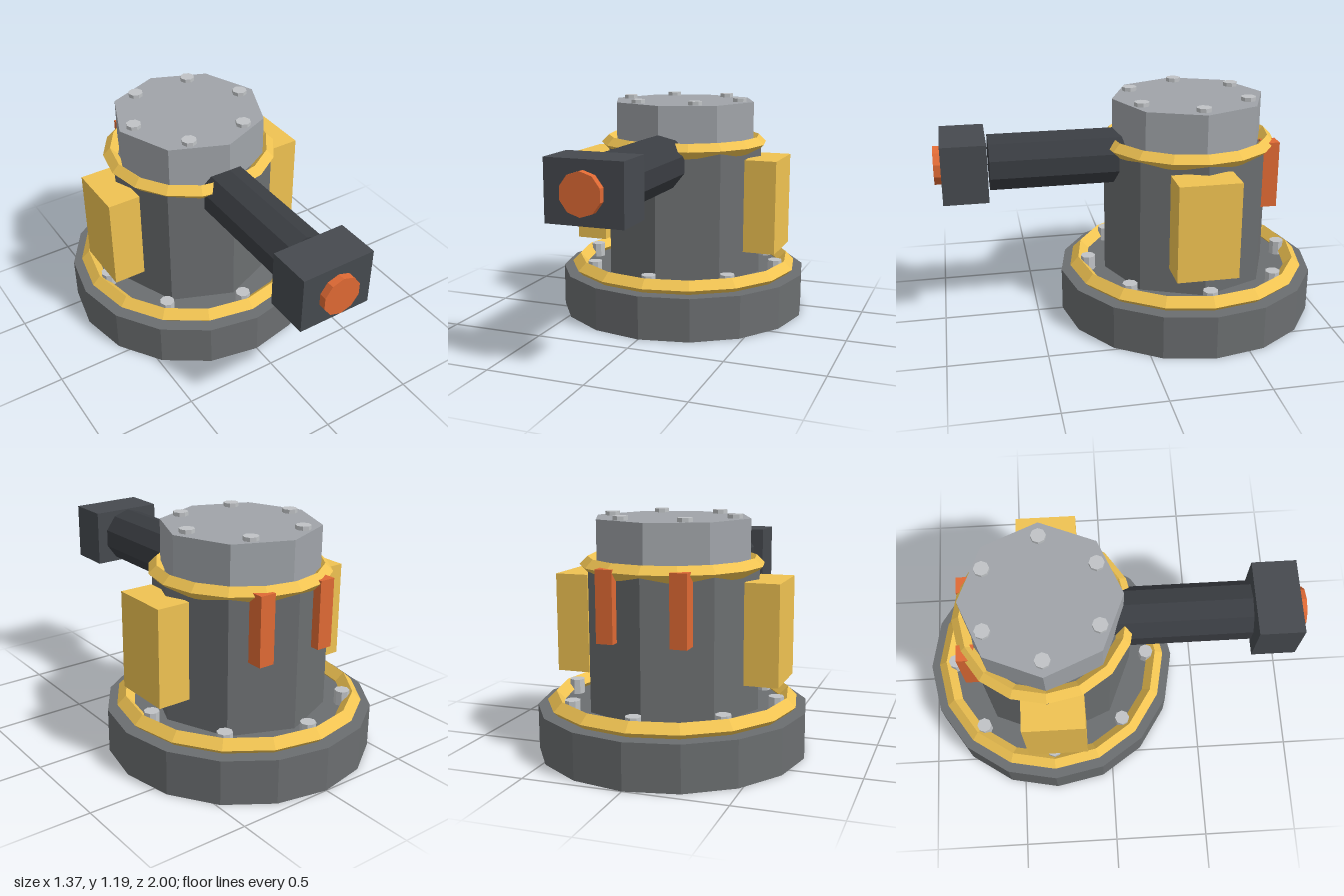
import * as THREE from 'three';

const material = (color) => new THREE.MeshStandardMaterial({ color, flatShading: true });
const GREY = material(0x6b6e70);
const CAP = material(0xa0a4a9);
const STEEL = material(0xc0c3c6);
const GOLD = material(0xf0c352);
const ORANGE = material(0xe06a34);
const BARREL = material(0x3a3d42);
const MUZZLE = material(0x464a4f);

function add(parent, name, geometry, mat, x, y, z) {
  const mesh = new THREE.Mesh(geometry, mat);
  mesh.name = name;
  mesh.position.set(x, y, z);
  parent.add(mesh);
  return mesh;
}

// Upright prism between two heights
function drum(parent, name, radius, y0, y1, sides, mat, x = 0, z = 0) {
  return add(parent, name, new THREE.CylinderGeometry(radius, radius, y1 - y0, sides), mat, x, (y0 + y1) / 2, z);
}

// Prism lying along z
function rod(parent, name, radius, z0, z1, sides, mat, y) {
  const geometry = new THREE.CylinderGeometry(radius, radius, z1 - z0, sides).rotateX(Math.PI / 2);
  return add(parent, name, geometry, mat, 0, y, (z0 + z1) / 2);
}

// Flat ring with a diamond section
function ring(parent, name, radius, tube, y) {
  const geometry = new THREE.TorusGeometry(radius, tube, 4, 16).rotateX(Math.PI / 2);
  return add(parent, name, geometry, GOLD, 0, y, 0);
}

function boltCircle(parent, name, count, radius, size, y0, y1) {
  const bolts = new THREE.Group();
  bolts.name = name;
  for (let i = 0; i < count; i++) {
    const a = (i / count) * Math.PI * 2;
    drum(bolts, 'bolt', size, y0, y1, 8, STEEL, Math.cos(a) * radius, Math.sin(a) * radius);
  }
  parent.add(bolts);
}

export function createModel() {
  const model = new THREE.Group();
  model.name = 'turret';

  // Round tower, set back from the centre
  const tower = new THREE.Group();
  tower.name = 'tower';
  tower.position.z = -0.317;
  model.add(tower);

  drum(tower, 'base', 0.683, 0, 0.23, 16, GREY);
  ring(tower, 'baseRing', 0.59, 0.045, 0.255);
  boltCircle(tower, 'baseBolts', 8, 0.537, 0.039, 0.22, 0.306);
  drum(tower, 'body', 0.445, 0.22, 0.94, 8, GREY);
  ring(tower, 'neckRing', 0.42, 0.04, 0.94);
  drum(tower, 'cap', 0.4, 0.93, 1.17, 8, CAP);
  boltCircle(tower, 'capBolts', 6, 0.32, 0.039, 1.16, 1.19);

  // Side plates and rear fins
  for (const s of [1, -1]) {
    add(tower, s > 0 ? 'leftPlate' : 'rightPlate', new THREE.BoxGeometry(0.172, 0.5, 0.315), GOLD, s * 0.491, 0.63, 0.025);
    add(tower, s > 0 ? 'leftFin' : 'rightFin', new THREE.BoxGeometry(0.084, 0.35, 0.086), ORANGE, s * 0.182, 0.78, -0.393);
  }

  // Gun along +z
  const gun = new THREE.Group();
  gun.name = 'gun';
  model.add(gun);
  rod(gun, 'barrel', 0.149, -0.05, 0.725, 10, BARREL, 0.87);
  add(gun, 'muzzleBlock', new THREE.BoxGeometry(0.386, 0.298, 0.226), MUZZLE, 0, 0.87, 0.85);
  rod(gun, 'muzzleGlow', 0.102, 0.9, 1.0, 10, ORANGE, 0.87);

  return model;
}
